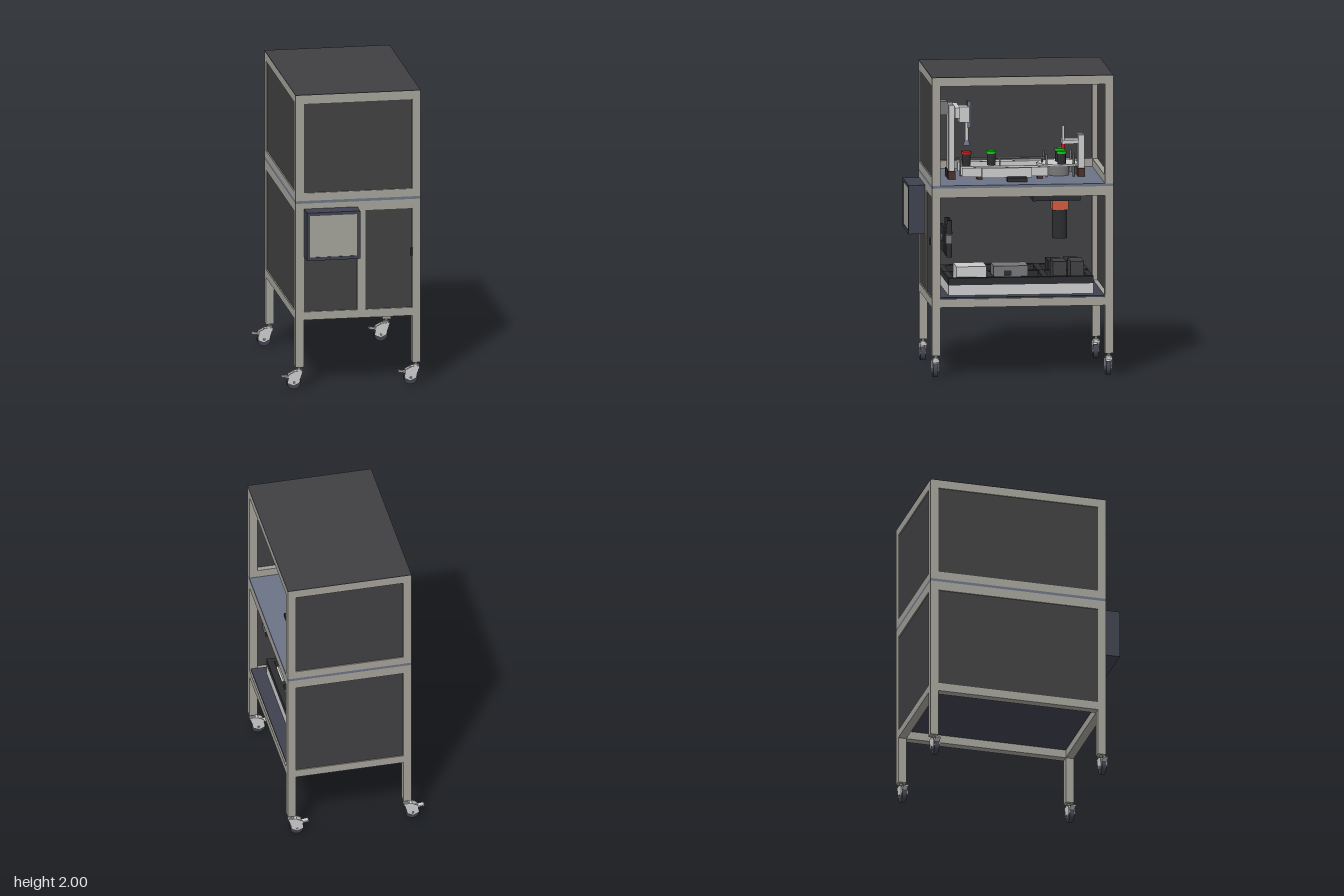
import * as THREE from 'three';

const mat = (color) => new THREE.MeshStandardMaterial({ color });
const M = {
  frame: mat(0xa3a199), panel: mat(0x404042), plate: mat(0x6b7385), dark: mat(0x2c2d30),
  navy: mat(0x3f424e), grey: mat(0xcccccc), mid: mat(0x77777a), white: mat(0xe4e2e2),
  orange: mat(0xd05a3c), red: mat(0xd01818), green: mat(0x10c818), brown: mat(0x4a322c),
};
// Outer limits of the cabinet and the tube width
const X0 = -0.375, X1 = 0.46, Z0 = -0.655, Z1 = 0.545, T = 0.055;
const CX = (X0 + X1) / 2, CZ = (Z0 + Z1) / 2;

function add(parent, name, geo, material, x = 0, y = 0, z = 0) {
  const m = new THREE.Mesh(geo, material);
  m.name = name;
  m.position.set(x, y, z);
  parent.add(m);
  return m;
}
// Box given by its limits on each axis
function span(parent, name, material, x0, x1, y0, y1, z0, z1) {
  return add(parent, name, new THREE.BoxGeometry(x1 - x0, y1 - y0, z1 - z0), material,
    (x0 + x1) / 2, (y0 + y1) / 2, (z0 + z1) / 2);
}
// Upright cylinder given by its foot and top
function rod(parent, name, material, r, x, z, y0, y1, r2 = r) {
  return add(parent, name, new THREE.CylinderGeometry(r2, r, y1 - y0, 24), material, x, (y0 + y1) / 2, z);
}
function group(parent, name) {
  const g = new THREE.Group();
  g.name = name;
  parent.add(g);
  return g;
}

function buildFrame(root) {
  const g = group(root, 'frame');
  for (const x of [X0, X1 - T]) for (const z of [Z0, Z1 - T]) {
    span(g, 'lowerPost', M.frame, x, x + T, 0.15, 1.262, z, z + T);
    span(g, 'upperPost', M.frame, x, x + T, 1.28, 1.997, z, z + T);
  }
  // Rail rings; the ring above the work plate is open on the access side
  for (const [y0, y1, open] of [[0.47, 0.525], [1.2, 1.262], [1.28, 1.333, true], [1.94, 1.997]]) {
    for (const z of [Z0, Z1 - T]) span(g, 'crossRail', M.frame, X0 + T, X1 - T, y0, y1, z, z + T);
    for (const x of open ? [X0] : [X0, X1 - T]) span(g, 'sideRail', M.frame, x, x + T, y0, y1, Z0 + T, Z1 - T);
  }
  span(g, 'frontMullion', M.frame, 0.037, 0.092, 0.525, 1.2, Z1 - T, Z1);
}

function buildPanels(root) {
  const g = group(root, 'panels'), e = 0.008, t = 0.012;
  span(g, 'topPanel', M.panel, X0, X1, 1.995, 2, Z0, Z1);
  for (const [y0, y1] of [[0.525, 1.2], [1.333, 1.94]]) {
    span(g, 'backPanel', M.panel, X0 + T, X1 - T, y0, y1, Z0 + e, Z0 + e + t);
    span(g, 'sidePanel', M.panel, X0 + e, X0 + e + t, y0, y1, Z0 + T, Z1 - T);
  }
  const f = Z1 - e;
  span(g, 'upperFrontPanel', M.panel, X0 + T, X1 - T, 1.333, 1.94, f - t, f);
  span(g, 'frontDoor', M.panel, X0 + T, 0.037, 0.525, 1.2, f - t, f);
  span(g, 'frontDoor', M.panel, 0.092, X1 - T, 0.525, 1.2, f - t, f);
  span(g, 'doorLatch', M.dark, 0.393, 0.408, 0.88, 0.93, f, f + 0.016);
  span(g, 'workPlate', M.plate, X0, X1, 1.262, 1.28, Z0, Z1);
  span(g, 'floorPlate', M.navy, X0 + 0.01, X1 - 0.01, 0.525, 0.535, Z0 + T, Z1 - T);
}

// Swivel caster with its wheel trailing toward -x
function buildCaster(root, x, z) {
  const g = group(root, 'caster');
  g.position.set(x, 0, z);
  rod(g, 'stem', M.mid, 0.011, 0, 0, 0.115, 0.152);
  rod(g, 'swivelHead', M.grey, 0.02, 0, 0, 0.11, 0.132);
  const s = new THREE.Shape([[0.022, 0.125], [-0.03, 0.122], [-0.072, 0.1], [-0.078, 0.045],
    [-0.04, 0.028], [-0.005, 0.045], [0.012, 0.09]].map((p) => new THREE.Vector2(...p)));
  const cheek = new THREE.ExtrudeGeometry(s, { depth: 0.006, bevelEnabled: false });
  for (const cz of [-0.023, 0.017]) add(g, 'forkCheek', cheek, M.grey, 0, 0, cz);
  span(g, 'forkBridge', M.grey, -0.035, 0.02, 0.105, 0.122, -0.017, 0.017);
  const wheel = add(g, 'wheel', new THREE.CylinderGeometry(0.045, 0.045, 0.032, 32), M.navy, -0.037, 0.045, 0);
  wheel.rotation.x = Math.PI / 2;
  const axle = add(g, 'axle', new THREE.CylinderGeometry(0.009, 0.009, 0.052, 16), M.mid, -0.037, 0.045, 0);
  axle.rotation.x = Math.PI / 2;
  const pedal = span(g, 'brakePedal', M.grey, -0.117, -0.06, 0.08, 0.09, -0.016, 0.016);
  pedal.rotation.z = -0.15;
}

function buildScreen(root) {
  const g = group(root, 'controlScreen');
  span(g, 'housing', M.navy, -0.318, 0.038, 0.9, 1.225, Z1, 0.648);
  const s = new THREE.Shape().moveTo(-0.318, 0.9).lineTo(0.038, 0.9).lineTo(0.038, 1.225).lineTo(-0.318, 1.225);
  s.holes.push(new THREE.Path().moveTo(-0.297, 0.922).lineTo(-0.297, 1.204).lineTo(0.017, 1.204).lineTo(0.017, 0.922));
  add(g, 'bezel', new THREE.ExtrudeGeometry(s, { depth: 0.007, bevelEnabled: false }), M.navy, 0, 0, 0.648);
  span(g, 'display', M.frame, -0.297, 0.017, 0.922, 1.204, 0.647, 0.651);
}

// Electrical tray on the floor: base, cable ducts and modules
function buildTray(root) {
  const g = group(root, 'electricalTray'), x0 = -0.28, x1 = 0.36, z0 = -0.535, z1 = 0.425;
  span(g, 'base', M.white, x0, x1, 0.535, 0.603, z0, z1);
  for (const x of [x0, 0.02, x1 - 0.045]) span(g, 'longDuct', M.dark, x, x + 0.045, 0.603, 0.65, z0, z1);
  for (const z of [z0, -0.24, 0.12, z1 - 0.04])
    span(g, 'crossDuct', M.dark, x0 + 0.045, x1 - 0.045, 0.603, 0.648, z, z + 0.04);
  span(g, 'powerSupply', M.white, 0.09, 0.29, 0.603, 0.715, 0.165, 0.365);
  span(g, 'controller', M.mid, 0.1, 0.28, 0.603, 0.715, -0.11, 0.118);
  span(g, 'controllerPort', M.dark, 0.28, 0.285, 0.65, 0.685, 0, 0.05);
  for (const z of [-0.365, -0.482]) {
    span(g, 'drive', M.panel, 0.1, 0.27, 0.603, 0.737, z, z + 0.09);
    span(g, 'driveBack', M.dark, -0.2, -0.02, 0.603, 0.7, z, z + 0.09);
  }
}

function buildUnderside(root) {
  const g = group(root, 'drivesBelowPlate');
  span(g, 'motorMount', M.dark, -0.1, 0.3, 1.145, 1.262, -0.455, -0.14);
  span(g, 'gearbox', M.orange, -0.03, 0.075, 1.05, 1.145, -0.4, -0.293);
  rod(g, 'motor', M.dark, 0.05, 0.022, -0.347, 0.86, 1.05);
  span(g, 'catchBox', M.grey, 0.05, 0.3, 1.177, 1.262, -0.11, 0.185);
  // Air supply unit behind the front door
  const a = group(g, 'airUnit');
  span(a, 'manifold', M.mid, 0.14, 0.38, 0.88, 0.94, 0.405, 0.445);
  span(a, 'bracket', M.dark, 0.16, 0.36, 0.82, 0.99, 0.44, 0.455);
  for (const x of [0.18, 0.25, 0.32]) {
    rod(a, 'filterBowl', M.dark, 0.018, x, 0.415, 0.785, 0.88);
    rod(a, 'regulatorKnob', M.dark, 0.02, x, 0.415, 0.94, 1.03, 0.016);
  }
  const gauge = add(a, 'gauge', new THREE.CylinderGeometry(0.024, 0.024, 0.02, 24), M.plate, 0.25, 0.91, 0.455);
  gauge.rotation.x = Math.PI / 2;
}

// Column with a brown foot
function column(g, x, z, w, top) {
  span(g, 'columnFoot', M.brown, x - 0.035, x + 0.035, 1.28, 1.335, z - 0.024, z + 0.024);
  span(g, 'column', M.grey, x - w / 2, x + w / 2, 1.335, top, z - w / 2, z + w / 2);
}
function buildMachine(root) {
  const g = group(root, 'assemblyStation');
  // Feed conveyors
  for (const x of [-0.12, 0.17]) {
    span(g, 'conveyorSide', M.grey, x - 0.045, x - 0.035, 1.3, 1.36, -0.25, 0.32);
    span(g, 'conveyorSide', M.grey, x + 0.035, x + 0.045, 1.3, 1.36, -0.25, 0.32);
    span(g, 'belt', M.dark, x - 0.035, x + 0.035, 1.315, 1.35, -0.24, 0.31);
    for (const z of [-0.2, 0.2]) span(g, 'conveyorFoot', M.brown, x - 0.03, x + 0.03, 1.28, 1.315, z - 0.018, z + 0.018);
  }
  span(g, 'driveCover', M.grey, 0.215, 0.235, 1.295, 1.36, -0.14, 0.19);
  span(g, 'guideRail', M.mid, 0.02, 0.03, 1.393, 1.402, -0.25, 0.34);
  for (const z of [-0.23, 0.05, 0.31]) rod(g, 'guidePost', M.mid, 0.006, 0.025, z, 1.28, 1.395);
  span(g, 'buttonBox', M.dark, 0.26, 0.33, 1.28, 1.305, -0.1, 0.03);
  // Indexing table
  rod(g, 'tableHub', M.mid, 0.07, 0.022, -0.34, 1.28, 1.35);
  add(g, 'indexTable', new THREE.CylinderGeometry(0.15, 0.15, 0.014, 8), M.grey, 0.022, 1.357, -0.34);
  for (const x of [-0.08, 0.12]) for (const z of [-0.43, -0.25]) rod(g, 'tablePost', M.mid, 0.007, x, z, 1.28, 1.43);
  // Part containers with coloured lids
  for (const [x, z, lid] of [[0.06, 0.275, M.red], [0.05, 0.11, M.green], [-0.02, -0.35, M.green], [0.11, -0.35, M.green]]) {
    rod(g, 'container', M.dark, 0.028, x, z, 1.355, 1.432);
    rod(g, 'containerLid', lid, 0.034, x, z, 1.432, 1.45);
  }
  // Tall pick column with its gripper arm
  for (const x of [0.02, 0.14]) column(g, x, 0.383, 0.036, 1.77);
  span(g, 'slideBeam', M.grey, -0.04, 0.2, 1.69, 1.76, 0.33, 0.365);
  span(g, 'slideMotor', M.mid, 0.02, 0.1, 1.7, 1.79, 0.405, 0.45);
  span(g, 'carriage', M.grey, 0.04, 0.13, 1.65, 1.755, 0.262, 0.33);
  span(g, 'liftSlide', M.plate, 0.06, 0.11, 1.61, 1.79, 0.25, 0.272);
  rod(g, 'gripperRod', M.grey, 0.011, 0.085, 0.275, 1.53, 1.65);
  rod(g, 'suctionCup', M.plate, 0.024, 0.085, 0.275, 1.495, 1.53, 0.012);
  // Short dosing column with its needle
  for (const x of [0.03, 0.1]) column(g, x, -0.48, 0.04, 1.555);
  span(g, 'dosingArm', M.grey, 0.05, 0.14, 1.5, 1.525, -0.46, -0.35);
  rod(g, 'doser', M.grey, 0.009, 0.12, -0.36, 1.5, 1.62);
  rod(g, 'doserTip', M.red, 0.012, 0.12, -0.36, 1.475, 1.5);
}

export function createModel() {
  const root = new THREE.Group();
  root.name = 'assemblyCabinet';
  buildFrame(root);
  buildPanels(root);
  for (const x of [X0 + T / 2, X1 - T / 2]) for (const z of [Z0 + T / 2, Z1 - T / 2]) buildCaster(root, x, z);
  buildScreen(root);
  buildTray(root);
  buildUnderside(root);
  buildMachine(root);
  return root;
}
